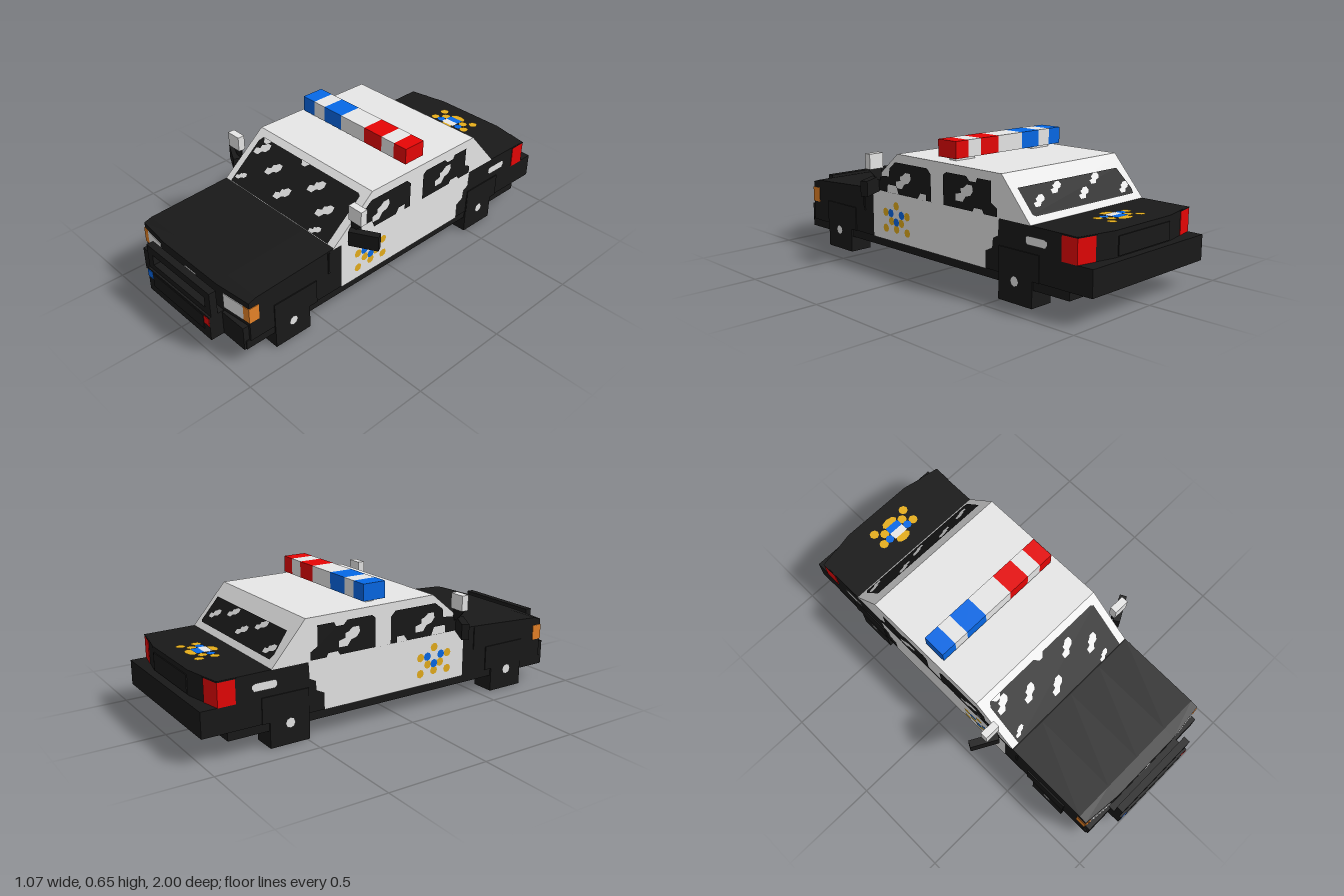
import * as THREE from 'three';

const mat = (name, color) => {
  const m = new THREE.MeshStandardMaterial({ color });
  m.name = name;
  return m;
};

export function createModel() {
  const black = mat('black paint', 0x191919);
  const light = mat('light grey paint', 0xededed);
  const red = mat('red', 0xe80505);
  const blue = mat('blue', 0x066cee);
  const gold = mat('gold', 0xe6ae1c);
  const orange = mat('orange', 0xee8729);
  const under = mat('underside slate', 0x4f5a66);

  const car = new THREE.Group();
  car.name = 'patrolCar';

  const add = (name, geo, m, parent = car) => {
    const mesh = new THREE.Mesh(geo, m);
    mesh.name = name;
    parent.add(mesh);
    return mesh;
  };
  // Box from its minimum and maximum on each axis
  const box = (name, m, x0, x1, y0, y1, z0, z1) => {
    const b = add(name, new THREE.BoxGeometry(Math.abs(x1 - x0), y1 - y0, z1 - z0), m);
    b.position.set((x0 + x1) / 2, (y0 + y1) / 2, (z0 + z1) / 2);
  };
  const shape = pts => new THREE.Shape(pts.map(p => new THREE.Vector2(...p)));
  // Side profile of (z, y) points swept across the width
  const sweep = (pts, width, steps = 1) => {
    const g = new THREE.ExtrudeGeometry(shape(pts), { depth: width, steps, bevelEnabled: false });
    return g.rotateY(-Math.PI / 2).translate(width / 2, 0, 0);
  };
  // Plan outline of (x, z) points raised between two heights
  const prism = (name, m, pts, y0, y1) => {
    const g = new THREE.ExtrudeGeometry(shape(pts.map(([x, z]) => [x, -z])), { depth: y1 - y0, bevelEnabled: false });
    add(name, g.rotateX(-Math.PI / 2).translate(0, y0, 0), m);
  };
  // Painted flat patch in a panel's own plane
  const patch = (name, m, pts, parent, lift) => {
    add(name, new THREE.ShapeGeometry(shape(pts)), m, parent).position.z = lift;
  };
  const disc = (name, m, r, x, y, parent, lift, wide = 1) => {
    const d = add(name, new THREE.CircleGeometry(r, 8), m, parent);
    d.position.set(x, y, lift);
    d.scale.x = wide;
  };
  // Slanted reflection made of two overlapping blobs
  const glint = (x, y, w, h, parent, lift) => patch('glassReflection', light, [
    [-1, -0.9], [-0.2, -0.9], [0.15, -0.3], [0.7, -0.1], [1, 0.4], [0.9, 1], [0.3, 1],
    [-0.1, 0.6], [-0.4, 0.5], [-0.4, 0], [-1, -0.2],
  ].map(([u, v]) => [x + u * w, y + v * h]), parent, lift);

  // Lower body, with front and rear corners drawn in
  const bodyGeo = sweep([[0.92, 0.12], [0.92, 0.325], [0.86, 0.337], [0.43, 0.36], [-0.67, 0.357],
    [-0.96, 0.355], [-0.96, 0.12]], 0.78, 4);
  const p = bodyGeo.attributes.position;
  for (let i = 0; i < p.count; i++) {
    if (Math.abs(p.getX(i)) < 0.38) continue;
    if (p.getZ(i) > 0.9) p.setZ(i, 0.9);
    if (p.getZ(i) < -0.95) p.setZ(i, -0.92);
  }
  bodyGeo.computeVertexNormals();
  add('lowerBody', bodyGeo, black);
  box('sill', black, -0.385, 0.385, 0.08, 0.125, -0.88, 0.92);
  box('underside', under, -0.375, 0.375, 0.077, 0.082, -0.87, 0.86);
  box('rearBumper', black, -0.39, 0.39, 0.12, 0.24, -1, -0.86);
  box('frontBumper', black, -0.38, 0.38, 0.08, 0.2, 0.86, 0.93);
  box('rearPanel', black, -0.18, 0.18, 0.245, 0.33, -0.965, -0.95);

  // Cabin
  add('cabin', sweep([[0.43, 0.355], [0.19, 0.555], [-0.5, 0.552], [-0.67, 0.355]], 0.78), light);

  // Push bar with an open slot, and the plate behind it
  const frame = shape([[-0.235, 0.16], [0.235, 0.16], [0.235, 0.33], [-0.235, 0.33]]);
  frame.holes.push(new THREE.Path([[-0.195, 0.235], [-0.195, 0.29], [0.195, 0.29], [0.195, 0.235]]
    .map(q => new THREE.Vector2(...q))));
  add('pushBarFrame', new THREE.ExtrudeGeometry(frame, { depth: 0.035, bevelEnabled: false }), black).position.z = 0.952;
  box('pushBarBase', black, -0.235, 0.235, 0.08, 0.205, 0.92, 0.997);
  box('pushBarFace', black, -0.193, 0.193, 0.12, 0.195, 0.98, 1);
  box('frontPlate', light, -0.04, 0.04, 0.25, 0.288, 0.915, 0.922);
  box('blueFrontLamp', blue, -0.2345, -0.196, 0.157, 0.197, 0.99, 0.9995);
  box('redFrontLamp', red, 0.196, 0.2345, 0.157, 0.197, 0.99, 0.9995);

  // Roof light bar
  [[-0.355, -0.275, blue], [-0.275, -0.2, light], [-0.2, -0.08, blue], [-0.08, 0.08, light],
    [0.08, 0.195, red], [0.195, 0.275, light], [0.275, 0.352, red]].forEach(([a, b, m]) =>
    box('lightBarSegment', m, a, b, 0.57, 0.65, -0.178, -0.06));

  // Windscreen and rear window, each in the plane of its slope
  const slope = (name, y, z, rise, run, turn) => {
    const outer = new THREE.Group();
    outer.name = name;
    outer.position.set(0, y, z);
    outer.rotation.y = turn;
    const inner = new THREE.Group();
    inner.rotation.x = -Math.atan2(run, rise);
    outer.add(inner);
    car.add(outer);
    return inner;
  };
  const screen = slope('windscreen', 0.355, 0.43, 0.2, 0.24, 0);
  patch('windscreenGlass', black, [[-0.35, 0.01], [0.35, 0.01], [0.35, 0.265], [0.335, 0.275],
    [-0.335, 0.275], [-0.35, 0.25]], screen, 0.004);
  [[-0.295, 0.22], [-0.16, 0.164], [-0.03, 0.088], [0.118, 0.2], [0.235, 0.125]]
    .forEach(([x, y]) => glint(x, y, 0.04, 0.038, screen, 0.006));
  [[-0.31, 0.055], [0.25, 0.03]].forEach(([x, y]) => glint(x, y, 0.03, 0.022, screen, 0.006));
  [-0.3, -0.02].forEach(x =>
    patch('glassReflection', light, [[x - 0.03, 0.276], [x - 0.01, 0.252], [x + 0.01, 0.252], [x + 0.03, 0.276]], screen, 0.006));

  const back = slope('rearWindow', 0.355, -0.67, 0.197, 0.17, Math.PI);
  patch('rearWindowGlass', black, [[-0.35, 0.045], [-0.335, 0.035], [0.34, 0.035], [0.35, 0.06],
    [0.33, 0.18], [-0.35, 0.18]], back, 0.004);
  [[0.3, 0.075], [0.14, 0.15], [0.02, 0.09], [-0.13, 0.145], [-0.27, 0.1]]
    .forEach(([x, y]) => glint(x, y, 0.04, 0.028, back, 0.006));

  // Badge on the boot lid
  const lid = new THREE.Group();
  lid.name = 'bootBadge';
  lid.position.set(0, 0.357, -0.805);
  lid.rotation.x = -Math.PI / 2;
  car.add(lid);
  [-1, 1].forEach(s => {
    [[0.1, 0.06], [0.1, -0.015], [0.06, 0.025]].forEach(([x, y]) => disc('badgePoint', gold, 0.024, s * x, y, lid, 0.004));
    disc('badgeCentre', blue, 0.022, s * 0.06, -0.015, lid, 0.005);
  });
  disc('badgeTop', gold, 0.025, 0, 0.055, lid, 0.004, 1.8);
  disc('badgeBottom', gold, 0.023, 0, -0.05, lid, 0.004, 1.8);
  patch('badgeBand', blue, [[-0.04, 0.005], [0.04, 0.005], [0.04, 0.042], [-0.04, 0.042]], lid, 0.006);
  patch('badgeHeart', light, [[-0.04, -0.035], [0.04, -0.035], [0.04, 0.005], [-0.04, 0.005]], lid, 0.006);

  // Everything that repeats on both sides
  [-1, 1].forEach(s => {
    const side = new THREE.Group();
    side.name = s > 0 ? 'leftSidePanel' : 'rightSidePanel';
    side.position.x = s * 0.39;
    side.rotation.y = s * Math.PI / 2;
    car.add(side);
    const flat = pts => pts.map(([z, y]) => [-s * z, y]);
    const plan = pts => pts.map(([x, z]) => [s * x, z]);

    patch('doors', light, flat([[0.38, 0.12], [0.38, 0.36], [-0.49, 0.36], [-0.485, 0.28],
      [-0.455, 0.265], [-0.45, 0.22], [-0.41, 0.2], [-0.41, 0.12]]), side, 0.004);
    patch('frontSideWindow', black, flat([[0.345, 0.362], [0.345, 0.41], [0.3, 0.435], [0.25, 0.44], [0.245, 0.48],
      [0.2, 0.515], [-0.03, 0.515], [-0.055, 0.49], [-0.055, 0.362], [-0.02, 0.362], [-0.02, 0.39],
      [0.02, 0.39], [0.04, 0.362], [0.18, 0.362], [0.195, 0.4], [0.26, 0.4], [0.265, 0.362]]), side, 0.006);
    patch('rearSideWindow', black, flat([[-0.14, 0.362], [-0.14, 0.5], [-0.16, 0.515], [-0.29, 0.515], [-0.31, 0.495],
      [-0.35, 0.495], [-0.36, 0.515], [-0.445, 0.515], [-0.445, 0.42], [-0.48, 0.4], [-0.48, 0.362],
      [-0.4, 0.362], [-0.39, 0.38], [-0.34, 0.38], [-0.33, 0.362]]), side, 0.006);
    [[0.14, 0.43], [-0.28, 0.435]].forEach(([z, y]) => glint(-s * z, y, 0.055, 0.043, side, 0.008));

    // Door badge
    [[0.2, 0.3], [0.28, 0.26], [0.12, 0.26], [0.28, 0.18], [0.12, 0.18], [0.237, 0.22], [0.163, 0.22], [0.2, 0.185]]
      .forEach(([z, y]) => disc('doorBadgePoint', gold, 0.021, -s * z, y, side, 0.006));
    [[0.24, 0.26], [0.16, 0.26], [0.2, 0.22]]
      .forEach(([z, y]) => disc('doorBadgeCentre', blue, 0.021, -s * z, y, side, 0.007));
    patch('rearFlash', light, flat([[-0.645, 0.285], [-0.655, 0.275], [-0.755, 0.275], [-0.765, 0.29],
      [-0.765, 0.305], [-0.75, 0.313], [-0.655, 0.313], [-0.645, 0.305]]), side, 0.005);

    // Head, turn and tail lamps, following the drawn-in corners
    prism('headlamp', light, plan([[0.235, 0.85], [0.357, 0.85], [0.357, 0.9065], [0.235, 0.919]]), 0.22, 0.296);
    prism('turnLamp', orange, plan([[0.357, 0.85], [0.393, 0.85], [0.393, 0.903], [0.357, 0.9065]]), 0.22, 0.296);
    prism('tailLamp', red, plan([[0.3, -0.84], [0.393, -0.84], [0.393, -0.9225], [0.3, -0.9415]]), 0.24, 0.35);
    prism('tailLampCap', black, plan([[0.295, -0.835], [0.3935, -0.835], [0.3935, -0.924], [0.295, -0.9435]]), 0.35, 0.354);
    box('lightBarFoot', light, s * 0.195, s * 0.315, 0.55, 0.572, -0.14, -0.095);

    // Wheels, arches and hubs
    [[0.67, 0.53, 0.77], [-0.585, -0.72, -0.49]].forEach(([z, a, b]) => {
      box('wheelArch', black, s * 0.3, s * 0.395, 0.12, 0.24, a, b);
      box('wheel', black, s * 0.275, s * 0.393, 0, 0.2, z - 0.098, z + 0.098);
      disc('outerHub', light, 0.024, -s * z, 0.1, side, 0.008);
      box('innerHub', light, s * 0.272, s * 0.277, 0.035, 0.12, z - 0.055, z + 0.055);
      box('innerAxle', black, s * 0.269, s * 0.277, 0.06, 0.1, z - 0.028, z + 0.028);
    });
    box('frontArchLip', black, s * 0.38, s * 0.3945, 0.24, 0.352, 0.45, 0.46);

    // Door mirror with a spotlight on a strut
    const mirror = add('doorMirror', new THREE.BoxGeometry(0.14, 0.075, 0.035), black);
    mirror.position.set(s * 0.465, 0.393, 0.31);
    mirror.rotation.y = s * 0.5;
    box('spotlight', light, s * 0.39, s * 0.47, 0.475, 0.55, 0.3, 0.336);
    const strut = shape([[s * 0.39, 0.476], [s * 0.47, 0.476], [s * 0.415, 0.42], [s * 0.39, 0.41]]);
    add('spotlightStrut', new THREE.ExtrudeGeometry(strut, { depth: 0.005, bevelEnabled: false }), black).position.z = 0.316;
  });

  return car;
}
